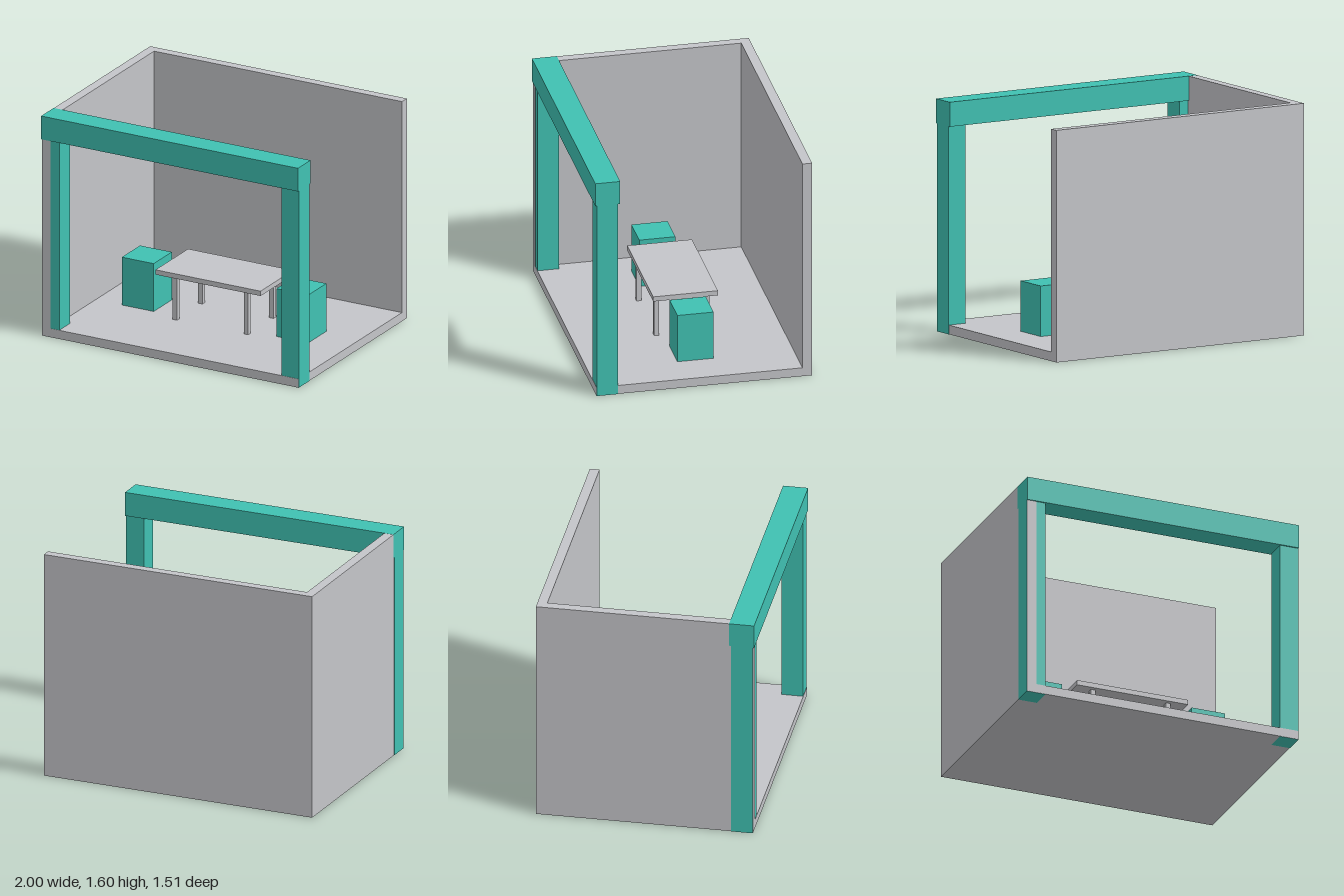
import * as THREE from 'three';

export function createModel() {
  const group = new THREE.Group();
  group.name = 'diningBooth';

  const grey = new THREE.MeshStandardMaterial({ color: 0xc4c5c9 });
  grey.name = 'light grey';
  const teal = new THREE.MeshStandardMaterial({ color: 0x40c1b2 });
  teal.name = 'teal';

  // Box given by its lower and upper limits on each axis
  function box(name, material, [x0, x1], [y0, y1], [z0, z1], parent = group) {
    const mesh = new THREE.Mesh(new THREE.BoxGeometry(x1 - x0, y1 - y0, z1 - z0), material);
    mesh.position.set((x0 + x1) / 2, (y0 + y1) / 2, (z0 + z1) / 2);
    mesh.name = name;
    parent.add(mesh);
  }

  // Floor and two walls, set in a hair so the frame covers them cleanly
  const floorTop = 0.064;
  const back = -0.753;
  const front = 0.745;
  box('floor', grey, [-0.999, 0.999], [0.001, floorTop], [back, front]);
  box('backWall', grey, [-0.999, 0.999], [floorTop, 1.599], [back, -0.686]);
  box('rightWall', grey, [-0.999, -0.931], [floorTop, 1.599], [-0.686, front]);

  // Entrance frame: two posts and a beam
  box('rightPost', teal, [-1, -0.864], [0, 1.431], [0.594, 0.743]);
  box('leftPost', teal, [0.864, 1], [0, 1.431], [0.594, 0.743]);
  box('beam', teal, [-1, 1], [1.431, 1.6], [0.58, 0.753]);

  // Table
  const table = new THREE.Group();
  table.name = 'table';
  group.add(table);
  box('tableTop', grey, [-0.409, 0.409], [0.379, 0.414], [-0.229, 0.221], table);
  for (const x of [-0.277, 0.277]) {
    for (const z of [-0.179, 0.172]) {
      box('tableLeg', grey, [x - 0.017, x + 0.017], [floorTop, 0.379], [z - 0.017, z + 0.017], table);
    }
  }

  // Block stools at both ends of the table
  for (const x of [-0.603, 0.6]) {
    box('stool', teal, [x - 0.124, x + 0.124], [floorTop, 0.412], [-0.129, 0.122]);
  }

  return group;
}
